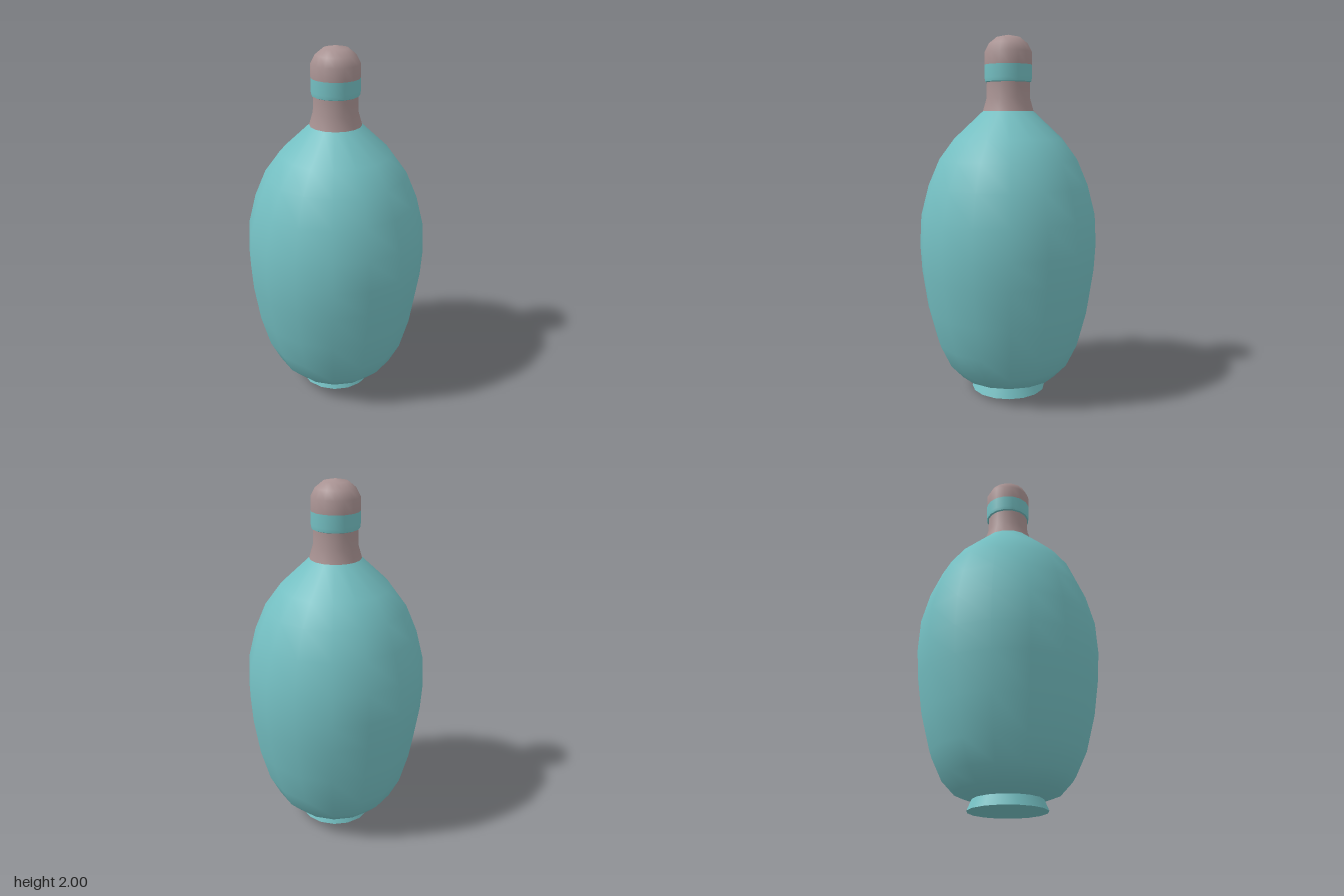
import * as THREE from 'three';

const SIDES = 16;

export function createModel() {
  const model = new THREE.Group();
  model.name = 'bottle';

  const teal = new THREE.MeshStandardMaterial({ color: 0x74bfc2 });
  teal.name = 'teal glaze';
  const taupe = new THREE.MeshStandardMaterial({ color: 0xa89292 });
  taupe.name = 'taupe stopper';

  // Turn a profile of [radius, height] points, listed bottom to top
  function turned(name, material, profile) {
    const points = profile.map(([r, y]) => new THREE.Vector2(r, y));
    const mesh = new THREE.Mesh(new THREE.LatheGeometry(points, SIDES), material);
    mesh.name = name;
    model.add(mesh);
  }

  // Foot: flat base and flared ring
  turned('footBase', teal, [[0, 0], [0.21, 0]]);
  turned('footRing', teal, [[0.21, 0], [0.185, 0.058]]);

  // Egg-shaped body
  turned('body', teal, [
    [0.18, 0.055], [0.28, 0.09], [0.35, 0.165], [0.41, 0.29], [0.46, 0.48],
    [0.491, 0.69], [0.5, 0.84], [0.491, 1.01], [0.447, 1.18], [0.385, 1.325],
    [0.3, 1.44], [0.14, 1.59],
  ]);

  // Neck flaring into the shoulders
  turned('neck', taupe, [[0.14, 1.59], [0.12, 1.66], [0.118, 1.75]]);

  // Coloured band with its lower lip
  turned('bandLip', teal, [[0.115, 1.745], [0.127, 1.75]]);
  turned('band', teal, [[0.127, 1.75], [0.13, 1.77], [0.13, 1.84]]);

  // Domed cap
  turned('cap', taupe, [
    [0.13, 1.84], [0.129, 1.91], [0.105, 1.955], [0.065, 1.987], [0, 2],
  ]);

  return model;
}
